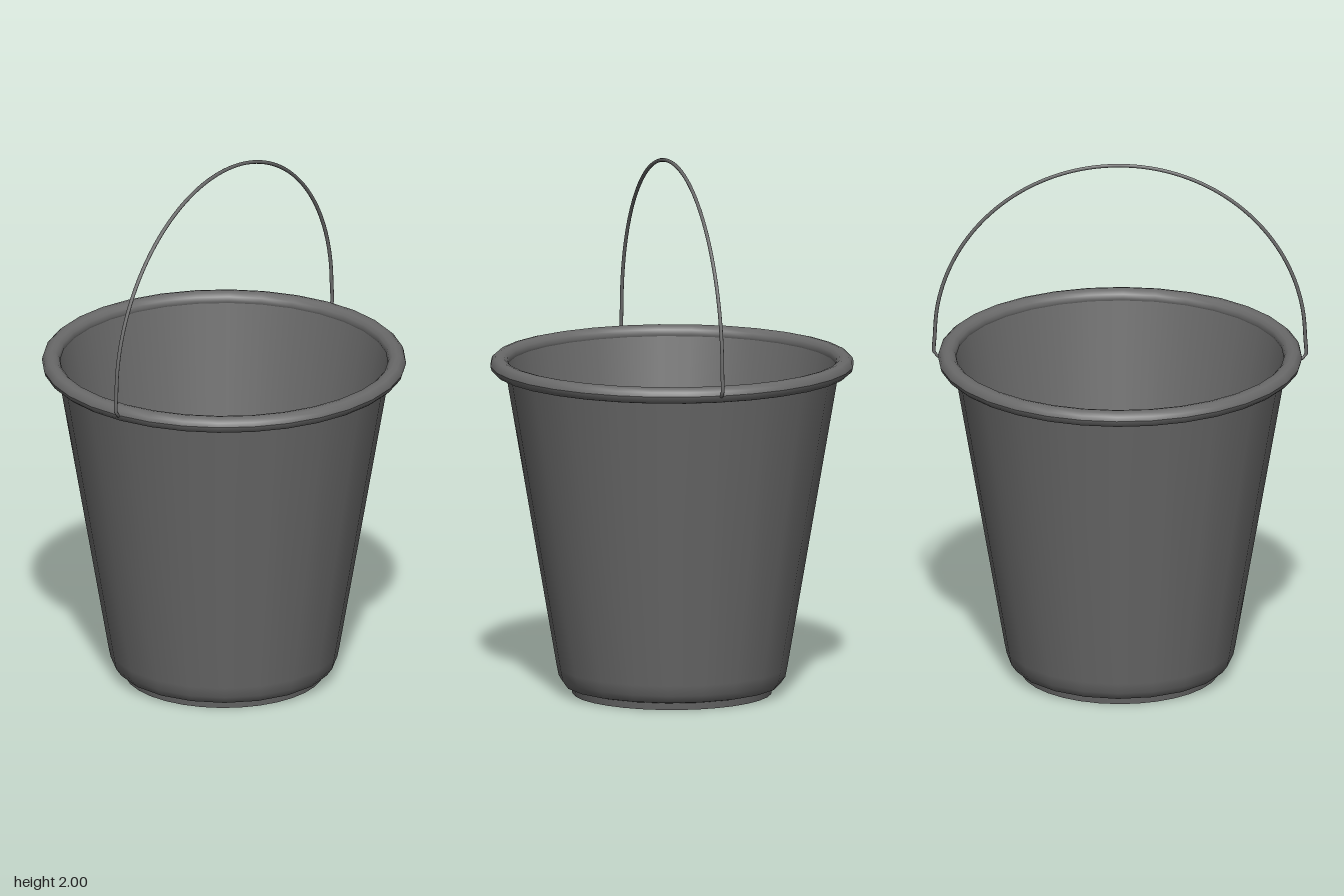
import * as THREE from 'three';

export function createModel() {
  const model = new THREE.Group();
  const grey = new THREE.MeshStandardMaterial({ color: 0x6a6a6a });
  grey.name = 'dark grey';

  const add = (name, geometry) => {
    const mesh = new THREE.Mesh(geometry, grey);
    mesh.name = name;
    model.add(mesh);
    return mesh;
  };
  const lathe = (name, profile, sides) =>
    add(name, new THREE.LatheGeometry(profile.map(([r, y]) => new THREE.Vector2(r, y)), sides));

  // Tapered outer wall with a rounded lower edge
  lathe('outerWall', [[0.37, 0.025], [0.4, 0.032], [0.42, 0.06], [0.428, 0.1], [0.62, 1.22]], 20);

  // Inner wall, running down to the floor
  lathe('innerWall', [[0.61, 1.23], [0.385, 0.05]], 32);
  const floor = add('floor', new THREE.CircleGeometry(0.387, 32));
  floor.rotation.x = -Math.PI / 2;
  floor.position.y = 0.05;

  // Low foot and underside
  lathe('foot', [[0.37, 0], [0.375, 0.03]], 32);
  const underside = add('underside', new THREE.CircleGeometry(0.37, 32));
  underside.rotation.x = Math.PI / 2;

  // Rolled rim: a closed oval section
  const rim = [];
  for (let i = 0; i <= 12; i++) {
    const a = (i / 12) * Math.PI * 2;
    rim.push([0.641 + 0.034 * Math.cos(a), 1.235 + 0.031 * Math.sin(a)]);
  }
  lathe('rim', rim, 32);

  // Wire handle: half circle with ends hooked into the rim
  const path = [new THREE.Vector3(0.65, 1.235, 0), new THREE.Vector3(0.685, 1.238, 0)];
  for (let i = 0; i <= 20; i++) {
    const a = (i / 20) * Math.PI;
    path.push(new THREE.Vector3(0.686 * Math.cos(a), 1.32 + 0.673 * Math.sin(a), 0));
  }
  path.push(new THREE.Vector3(-0.685, 1.238, 0), new THREE.Vector3(-0.65, 1.235, 0));
  add('handle', new THREE.TubeGeometry(new THREE.CatmullRomCurve3(path), 90, 0.007, 8));

  return model;
}
